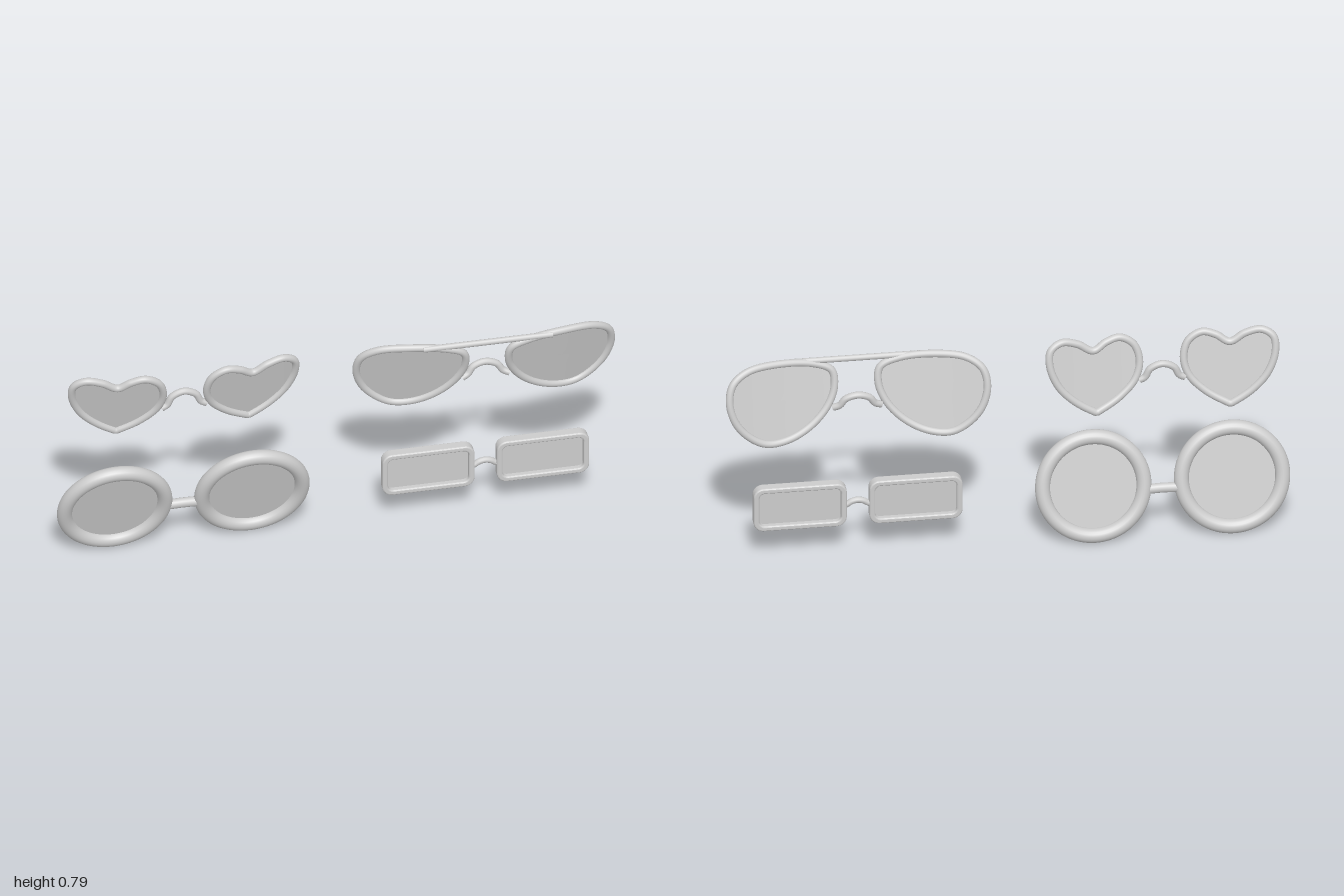
import * as THREE from 'three';

const material = new THREE.MeshStandardMaterial({ color: 0xcccccc });
const lensMaterial = new THREE.MeshStandardMaterial({ color: 0xcccccc, side: THREE.DoubleSide });

function add(parent, name, geometry, mat = material) {
  const mesh = new THREE.Mesh(geometry, mat);
  mesh.name = name;
  parent.add(mesh);
  return mesh;
}

const pair = (name, x) => {
  const g = new THREE.Group();
  g.name = name;
  g.position.x = x;
  return g;
};

// Arched nose bridge through a symmetric half-list of [x, y, z] points ending at x = 0
function addBridge(parent, half, radius) {
  const pts = half.map(p => new THREE.Vector3(...p));
  for (const p of half.slice(0, -1).reverse()) pts.push(new THREE.Vector3(-p[0], p[1], p[2]));
  add(parent, 'bridge', new THREE.TubeGeometry(new THREE.CatmullRomCurve3(pts), 32, radius, 12));
}

// Tube rim and curved lens on both sides; outline runs counterclockwise on the +x side,
// depth(x, y) gives the wrapped and tilted surface
function addWrappedLenses(parent, outline, radius, depth) {
  for (const s of [1, -1]) {
    const side = s > 0 ? 'left' : 'right';
    const pts = outline.map(([x, y]) => new THREE.Vector3(s * x, y, depth(x, y)));
    const curve = new THREE.CatmullRomCurve3(pts, true);
    add(parent, side + 'Rim', new THREE.TubeGeometry(curve, 140, radius, 14, true));

    const centre = pts.reduce((a, p) => a.add(p), new THREE.Vector3()).divideScalar(pts.length);
    const segs = 96, rings = 8;
    const lens = new THREE.RingGeometry(0.001, 1, segs, rings);
    const pos = lens.attributes.position;
    const p = new THREE.Vector3();
    for (let i = 0; i < pos.count; i++) {
      const t = (i % (segs + 1)) / segs;
      const r = Math.floor(i / (segs + 1)) / rings;
      curve.getPoint(s > 0 ? t : 1 - t, p);
      const x = centre.x + (p.x - centre.x) * r;
      const y = centre.y + (p.y - centre.y) * r;
      pos.setXYZ(i, x, y, depth(x, y));
    }
    lens.computeVertexNormals();
    add(parent, side + 'Lens', lens, lensMaterial);
  }
}

function heartGlasses() {
  const g = pair('heartGlasses', -0.55);
  const outline = [
    [0.241, 0.73], [0.193, 0.756], [0.144, 0.767], [0.096, 0.738], [0.078, 0.679],
    [0.096, 0.615], [0.155, 0.556], [0.222, 0.518], [0.236, 0.512], [0.25, 0.518],
    [0.315, 0.561], [0.369, 0.62], [0.398, 0.695], [0.393, 0.749], [0.353, 0.773], [0.296, 0.76],
  ];
  addWrappedLenses(g, outline, 0.0135, (x, y) => 0.024 + 0.25 * (y - 0.65) - 0.22 * x * x);
  addBridge(g, [[-0.08, 0.61, 0.013], [-0.06, 0.621, 0.012], [-0.042, 0.653, 0.012], [0, 0.67, 0.012]], 0.0125);
  return g;
}

function browBarGlasses() {
  const g = pair('browBarGlasses', 0.527);
  const outline = [
    [0.086, 0.717], [0.078, 0.658], [0.107, 0.588], [0.171, 0.524], [0.251, 0.487],
    [0.326, 0.484], [0.385, 0.516], [0.433, 0.572], [0.455, 0.647], [0.441, 0.711],
    [0.385, 0.749], [0.273, 0.759], [0.15, 0.746],
  ];
  const depth = (x, y) => 0.035 + 0.25 * (y - 0.66) - 0.27 * x * x;
  addWrappedLenses(g, outline, 0.0135, depth);
  addBridge(g, [[-0.085, 0.585, 0.012], [-0.062, 0.596, 0.006], [-0.042, 0.622, 0.002], [0, 0.635, 0]], 0.0125);
  // Straight bar joining the tops of both rims
  const bar = add(g, 'browBar', new THREE.CylinderGeometry(0.011, 0.011, 0.46, 14));
  bar.rotation.z = Math.PI / 2;
  bar.position.set(0, 0.756, 0.053);
  return g;
}

function roundGlasses() {
  const g = pair('roundGlasses', -0.55);
  g.position.y = 0.2;
  g.rotation.x = THREE.MathUtils.degToRad(15);
  for (const s of [1, -1]) {
    const side = s > 0 ? 'left' : 'right';
    add(g, side + 'Rim', new THREE.TorusGeometry(0.179, 0.0265, 20, 80)).position.x = s * 0.245;
    add(g, side + 'Lens', new THREE.CircleGeometry(0.165, 64), lensMaterial).position.x = s * 0.245;
  }
  addBridge(g, [[-0.075, -0.025, 0], [-0.04, -0.024, 0], [0, -0.023, 0]], 0.018);
  return g;
}

function roundedRect(shape, w, h, r) {
  const x = w / 2, y = h / 2;
  shape.absarc(x - r, y - r, r, 0, Math.PI / 2);
  shape.absarc(-x + r, y - r, r, Math.PI / 2, Math.PI);
  shape.absarc(-x + r, -y + r, r, Math.PI, Math.PI * 1.5);
  shape.absarc(x - r, -y + r, r, Math.PI * 1.5, Math.PI * 2);
  shape.closePath();
  return shape;
}

function rectangularGlasses() {
  const g = pair('rectangularGlasses', 0.527);
  g.position.y = 0.204;
  const bevel = 0.006, w = 0.329, h = 0.171;
  const frame = roundedRect(new THREE.Shape(), w - 2 * bevel, h - 2 * bevel, 0.03);
  frame.holes.push(roundedRect(new THREE.Path(), w - 0.04 + 2 * bevel, h - 0.04 + 2 * bevel, 0.026));
  const rim = new THREE.ExtrudeGeometry(frame, {
    depth: 0.04 - 2 * bevel, bevelThickness: bevel, bevelSize: bevel, bevelSegments: 4, curveSegments: 10,
  });
  rim.translate(0, 0, -0.02 + bevel);
  const lens = new THREE.ShapeGeometry(roundedRect(new THREE.Shape(), w - 0.03, h - 0.03, 0.02));
  for (const s of [1, -1]) {
    const side = s > 0 ? 'left' : 'right';
    add(g, side + 'Rim', rim).position.x = s * 0.2045;
    add(g, side + 'Lens', lens, lensMaterial).position.x = s * 0.2045;
  }
  addBridge(g, [[-0.048, -0.012, 0], [-0.035, -0.006, 0], [-0.02, 0.003, 0], [0, 0.007, 0]], 0.011);
  return g;
}

export function createModel() {
  const model = new THREE.Group();
  model.name = 'glassesSet';
  model.add(heartGlasses(), browBarGlasses(), roundGlasses(), rectangularGlasses());
  return model;
}
